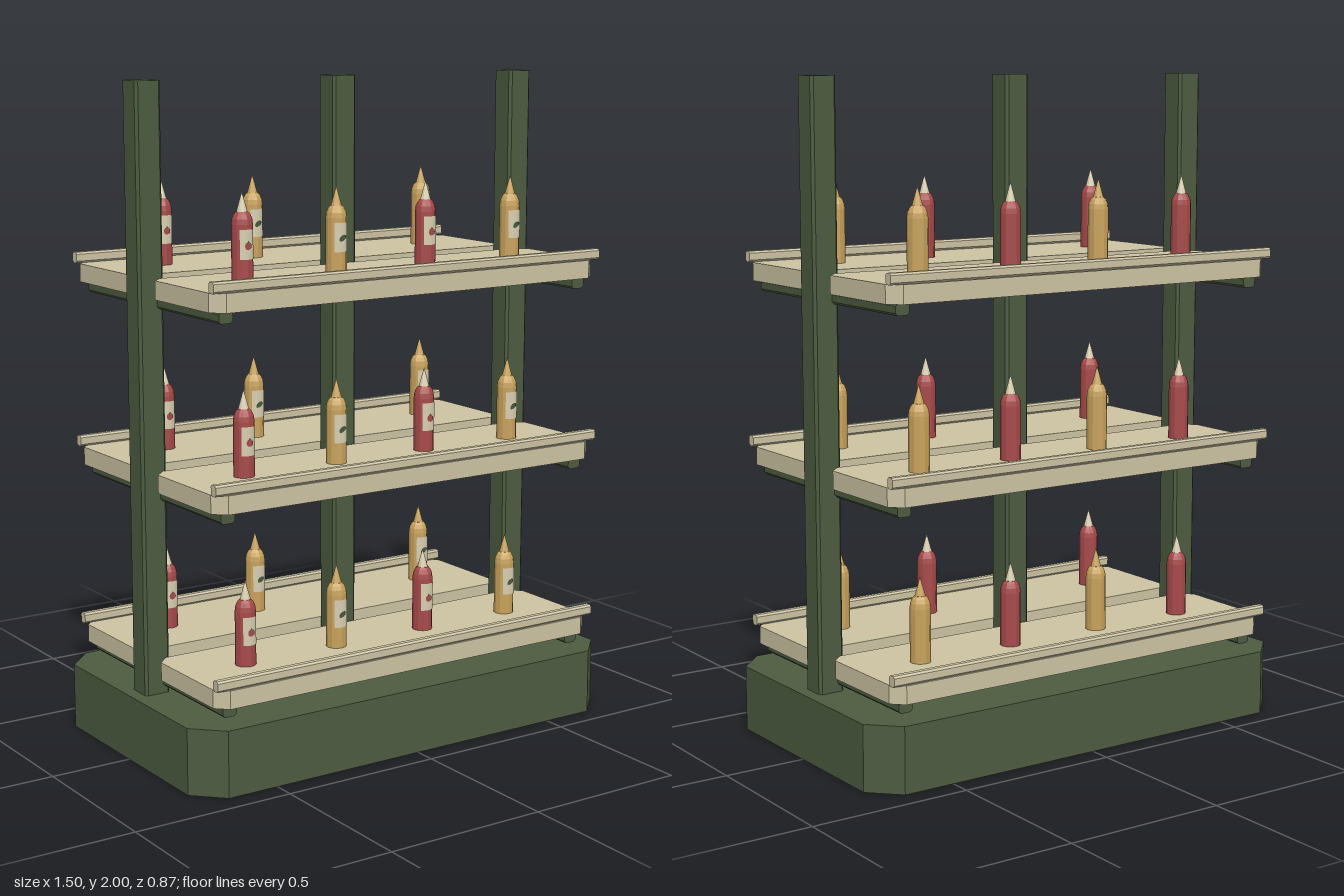
import * as THREE from 'three';

const mat = (name, color) => {
  const m = new THREE.MeshStandardMaterial({ color });
  m.name = name;
  return m;
};

// Bar with an eight-sided, corner-cut section (w by h), run along the given axis and centred
function bar(w, h, length, cut, axis) {
  const a = w / 2, b = h / 2;
  const shape = new THREE.Shape([
    [a, cut - b], [a, b - cut], [a - cut, b], [cut - a, b],
    [-a, b - cut], [-a, cut - b], [cut - a, -b], [a - cut, -b],
  ].map(([x, y]) => new THREE.Vector2(x, y)));
  const geo = new THREE.ExtrudeGeometry(shape, { depth: length, bevelEnabled: false });
  geo.translate(0, 0, -length / 2);
  if (axis === 'y') geo.rotateX(-Math.PI / 2);
  if (axis === 'x') geo.rotateY(Math.PI / 2);
  return geo;
}

export function createModel() {
  const green = mat('frameGreen', 0x4d5c40);
  const cream = mat('shelfCream', 0xcdc4a4);
  const red = mat('bottleRed', 0xa84a4a);
  const gold = mat('bottleGold', 0xc9a35c);
  const paper = mat('labelCream', 0xd8ceb0);
  const leafGreen = mat('leafGreen', 0x46583c);
  for (const m of [red, gold, paper]) m.flatShading = true;

  const model = new THREE.Group();
  model.name = 'displayRack';
  const add = (parent, name, geo, material, x = 0, y = 0, z = 0) => {
    const mesh = new THREE.Mesh(geo, material);
    mesh.name = name;
    mesh.position.set(x, y, z);
    parent.add(mesh);
    return mesh;
  };

  // Base and uprights
  add(model, 'base', bar(1.496, 0.868, 0.2, 0.085, 'y'), green, 0, 0.1, 0);
  const postGeo = bar(0.082, 0.082, 1.8, 0.008, 'y');
  for (const x of [-0.668, 0, 0.668]) add(model, 'post', postGeo, green, x, 1.1, 0);

  // Bottle parts
  const V = (x, y) => new THREE.Vector2(x, y);
  const bodyGeo = new THREE.LatheGeometry([
    V(0, 0), V(0.031, 0), V(0.031, 0.163), V(0.029, 0.178), V(0.024, 0.19), V(0.017, 0.198), V(0, 0.198),
  ], 12);
  const nozzleGeo = new THREE.ConeGeometry(0.016, 0.058, 12);
  const labelGeo = new THREE.CylinderGeometry(0.0325, 0.0325, 0.085, 6, 1, true, -0.75, 1.5);
  const fruitGeo = new THREE.CircleGeometry(0.011, 12);
  const stemGeo = new THREE.CircleGeometry(0.005, 3, Math.PI / 2);
  const leafGeo = new THREE.CircleGeometry(0.013, 12);
  leafGeo.scale(1, 0.6, 1).rotateZ(0.6);

  function bottle(isRed) {
    const g = new THREE.Group();
    g.name = isRed ? 'redBottle' : 'goldBottle';
    add(g, 'body', bodyGeo, isRed ? red : gold);
    add(g, 'nozzle', nozzleGeo, isRed ? paper : gold, 0, 0.226, 0);
    add(g, 'label', labelGeo, paper, 0, 0.107, 0);
    if (isRed) {
      add(g, 'fruitMark', fruitGeo, red, 0, 0.103, 0.0335);
      add(g, 'stemMark', stemGeo, leafGreen, 0, 0.114, 0.034);
    } else {
      add(g, 'leafMark', leafGeo, leafGreen, 0, 0.105, 0.0335);
    }
    return g;
  }

  // Shelf tiers: brackets, then a tray, rail and four bottles on each side
  const trayGeo = bar(1.36, 0.37, 0.055, 0.036, 'y');
  const railGeo = bar(0.027, 0.033, 1.37, 0.006, 'x');
  const bracketGeo = bar(0.045, 0.034, 0.77, 0.007, 'z');
  for (let i = 0; i < 3; i++) {
    const tier = new THREE.Group();
    tier.name = 'shelfTier';
    tier.position.y = 0.31 + i * 0.565; // height of the tray's top face
    model.add(tier);
    for (const x of [-0.628, 0.628]) add(tier, 'bracket', bracketGeo, green, x, -0.072, 0);
    for (const side of [1, -1]) {
      add(tier, 'tray', trayGeo, cream, 0, -0.0275, side * 0.231);
      add(tier, 'rail', railGeo, cream, 0, 0.0165, side * 0.403);
      for (let k = 0; k < 4; k++) {
        const b = bottle(k % 2 === 0);
        b.position.set(-0.48 + k * 0.32, 0, side * 0.231);
        tier.add(b);
      }
    }
  }
  return model;
}
